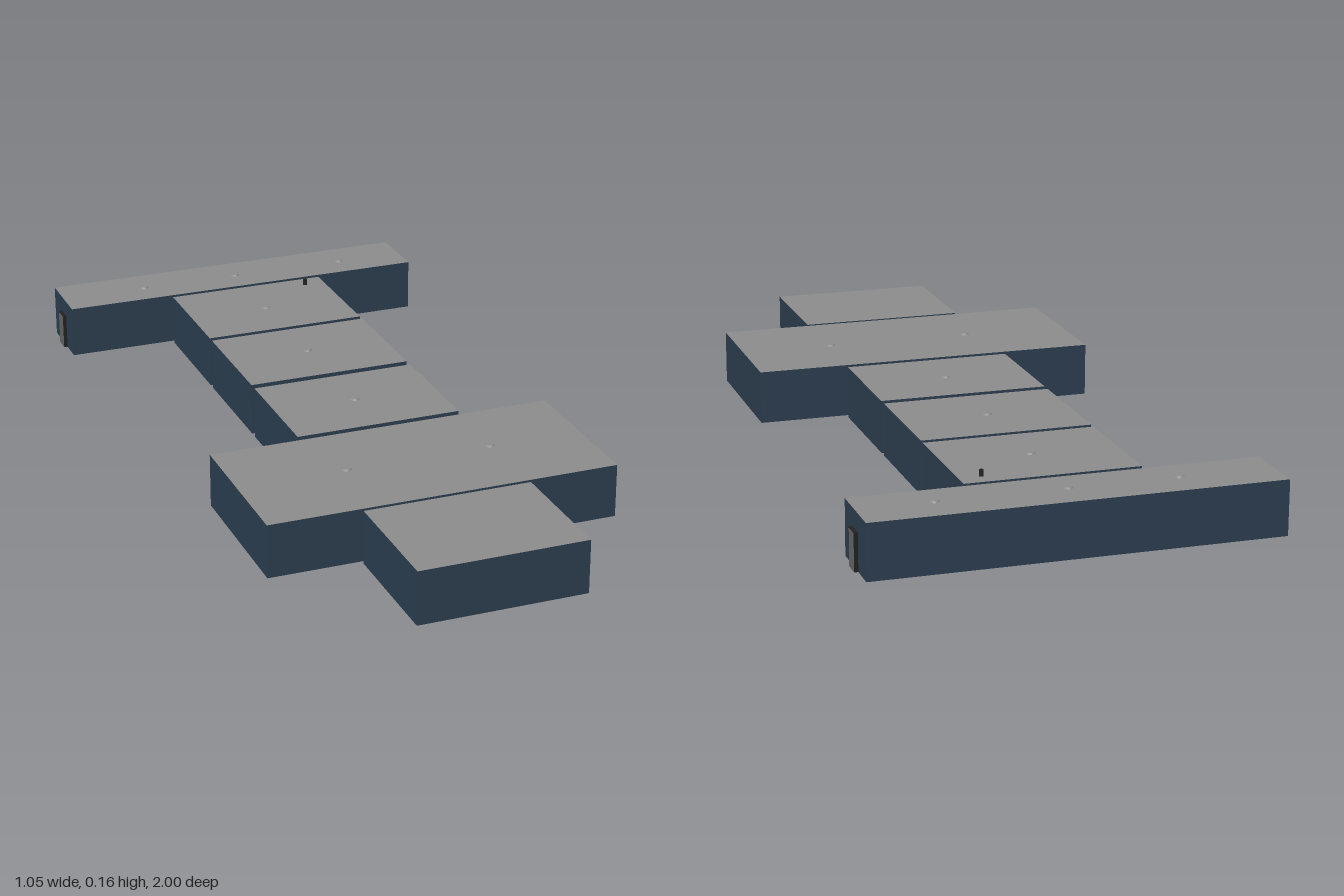
import * as THREE from 'three';

export function createModel() {
  const model = new THREE.Group();
  const paint = (color) => new THREE.MeshStandardMaterial({ color, flatShading: true });
  const wall = paint(0x2c3e50), roof = paint(0x8c8c8c), passage = paint(0x999999);
  const door = paint(0x666666), dark = paint(0x222222);
  const HEIGHT = 0.14;

  function add(name, geometry, material, x, y, z) {
    const mesh = new THREE.Mesh(geometry, material);
    mesh.name = name;
    mesh.position.set(x, y, z);
    model.add(mesh);
    return mesh;
  }

  // Box given by its extents, standing on the ground
  function block(name, x0, x1, z0, z1, height, material) {
    return add(name, new THREE.BoxGeometry(x1 - x0, height, z1 - z0), material,
      (x0 + x1) / 2, height / 2, (z0 + z1) / 2);
  }

  // Building sections: dark walls with a flat grey roof
  const shell = [wall, wall, roof, wall, wall, wall];
  block('frontSection', -0.22, 0.217, 0.668, 1, HEIGHT, shell);
  block('wideSection', -0.46, 0.456, 0.237, 0.657, HEIGHT, shell);
  [[-0.11, 0.217], [-0.46, -0.133], [-0.805, -0.477]].forEach(([z0, z1], i) =>
    block(`middleSection${i + 1}`, -0.22, 0.222, z0, z1, HEIGHT, shell));
  block('rearSection', -0.514, 0.511, -1, -0.82, HEIGHT, shell);

  // Low passages bridging the gaps
  [[0.217, 0.237], [-0.133, -0.11], [-0.477, -0.46], [-0.82, -0.805]].forEach(([z0, z1], i) =>
    block(`passage${i + 1}`, -0.056, 0.056, z0, z1, 0.112, passage));

  // Wide doorway between the front and wide sections
  block('frontDoorway', -0.078, 0.082, 0.657, 0.668, 0.1, dark);

  // Side doors at both ends of the rear section, each in a dark frame
  for (const [x0, x1, face] of [[-0.523, -0.514, -0.524], [0.511, 0.52, 0.521]]) {
    block('doorFrame', x0, x1, -0.932, -0.886, 0.095, dark);
    block('doorPanel', Math.min(face, x0), Math.max(face, x1), -0.928, -0.89, 0.092, door);
  }

  // Small door on the front of the last middle section
  block('serviceDoor', 0.16, 0.21, -0.477, -0.472, 0.09, dark);

  // Roof vents: low octagonal caps
  const vent = new THREE.CylinderGeometry(0.009, 0.013, 0.004, 8);
  [[-0.175, 0.44], [0.21, 0.44], [0, 0.05], [0, -0.3], [0, -0.635],
    [-0.275, -0.905], [0, -0.905], [0.323, -0.905]].forEach(([x, z]) =>
    add('roofVent', vent, roof, x, HEIGHT + 0.002, z));

  // Chimney pipe
  add('chimney', new THREE.CylinderGeometry(0.006, 0.006, 0.016, 8), dark, 0.165, HEIGHT + 0.008, -0.762);

  return model;
}
